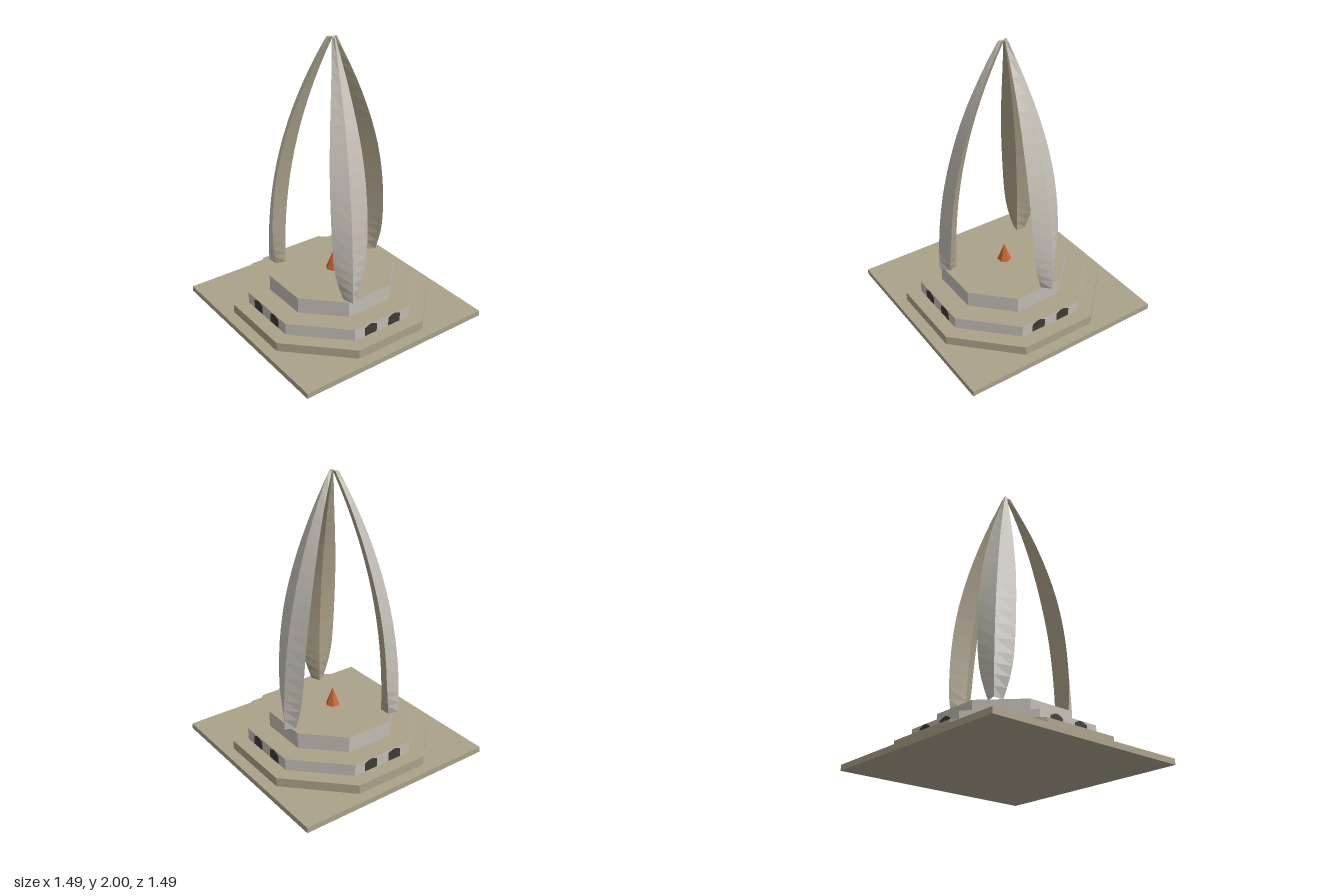
import * as THREE from 'three';

const paint = (name, color) => {
  const m = new THREE.MeshStandardMaterial({ color });
  m.name = name;
  return m;
};

// Split shared corners so every facet is flat
const faceted = (geometry) => {
  const g = geometry.toNonIndexed();
  g.computeVertexNormals();
  return g;
};

// Blade rows: height, half width, place of the side edge between inner and outer ridge
const BASE = 0.305;
const TOP = 2;
const PROFILE = [
  [BASE, 0.046, 0.48],
  [0.45, 0.09, 0.49],
  [0.6, 0.113, 0.5],
  [0.8, 0.122, 0.54],
  [1.0, 0.123, 0.58],
  [1.2, 0.116, 0.6],
  [1.4, 0.099, 0.6],
  [1.6, 0.074, 0.6],
  [1.8, 0.044, 0.58],
  [TOP, 0.012, 0.5],
];

// Diamond cross-sections ordered outer, +side, inner, -side; both ridges lean in along a power curve
function bladeRings(steps) {
  const rows = PROFILE.map((row) => new THREE.Vector3(...row));
  const curve = new THREE.CatmullRomCurve3(rows, false, 'catmullrom', 0.5);
  return Array.from({ length: steps + 1 }, (_, s) => {
    const { x: y, y: width, z: blend } = curve.getPoint(s / steps);
    const lean = Math.max(0, (y - BASE) / (TOP - BASE)) ** 2.2;
    const outer = THREE.MathUtils.lerp(0.473, 0.04, lean);
    const inner = THREE.MathUtils.lerp(0.35, 0, lean);
    const side = THREE.MathUtils.lerp(inner, outer, blend);
    return [[outer, y, 0], [side, y, width], [inner, y, 0], [side, y, -width]];
  });
}

// Skin made from the chosen sides of the diamond
function bladeSkin(rings, sides, capped) {
  const pos = [];
  for (let r = 0; r < rings.length - 1; r++) {
    for (const k of sides) {
      const n = (k + 1) % 4;
      const [a, b, c, d] = [rings[r][k], rings[r][n], rings[r + 1][n], rings[r + 1][k]];
      pos.push(...a, ...c, ...b, ...a, ...d, ...c);
    }
  }
  if (capped) {
    const [a, b, c, d] = rings[rings.length - 1];
    pos.push(...a, ...d, ...c, ...a, ...c, ...b);
  }
  const g = new THREE.BufferGeometry();
  g.setAttribute('position', new THREE.Float32BufferAttribute(pos, 3));
  g.computeVertexNormals();
  return g;
}

export function createModel() {
  const model = new THREE.Group();
  model.name = 'monument';
  const sand = paint('sandstone', 0xaca28a);
  const grey = paint('pale grey stone', 0xc2bdb4);
  const dark = paint('dark opening', 0x3f3b34);
  const orange = paint('flame orange', 0xcc622c);

  const add = (name, geometry, material, parent = model) => {
    const mesh = new THREE.Mesh(geometry, material);
    mesh.name = name;
    parent.add(mesh);
    return mesh;
  };

  // Square plinth
  add('plinth', new THREE.BoxGeometry(1.49, 0.04, 1.49), sand).position.y = 0.02;

  // Octagonal tiers: name, half span, bottom, top, wall material
  const tiers = [
    ['lowerTier', 0.665, 0.04, 0.105, sand],
    ['middleTier', 0.565, 0.105, 0.19, grey],
    ['upperTier', 0.422, 0.19, 0.305, grey],
  ];
  for (const [name, span, y0, y1, wall] of tiers) {
    const radius = span / Math.cos(Math.PI / 8);
    const g = new THREE.CylinderGeometry(radius, radius, y1 - y0, 8);
    g.rotateY(Math.PI / 8);
    add(name, faceted(g), [wall, sand, sand]).position.y = (y0 + y1) / 2;
  }

  // Pairs of gabled openings on the four main sides of the middle tier
  const gable = new THREE.Shape([
    [-0.051, 0], [0.051, 0], [0.051, 0.063], [0.012, 0.081], [-0.012, 0.081], [-0.051, 0.063],
  ].map(([x, y]) => new THREE.Vector2(x, y)));
  const opening = new THREE.ShapeGeometry(gable);
  for (let s = 0; s < 4; s++) {
    const wall = new THREE.Group();
    wall.name = 'openings';
    wall.rotation.y = s * Math.PI / 2;
    for (const x of [-0.101, 0.101]) {
      add('opening', opening, dark, wall).position.set(x, 0.107, 0.566);
    }
    model.add(wall);
  }

  // Three curved blades leaning together at the top
  const rings = bladeRings(18);
  const outerSkin = bladeSkin(rings, [0, 3], true);
  const innerSkin = bladeSkin(rings, [1, 2], false);
  for (const degrees of [-10, 110, 230]) {
    const blade = new THREE.Group();
    blade.name = 'blade';
    blade.rotation.y = -THREE.MathUtils.degToRad(degrees);
    add('bladeOuterFace', outerSkin, grey, blade);
    add('bladeInnerFace', innerSkin, sand, blade);
    model.add(blade);
  }

  // Central flame
  const flame = new THREE.ConeGeometry(0.05, 0.13, 6);
  flame.rotateY(Math.PI / 6);
  add('flame', faceted(flame), orange).position.y = 0.37;

  return model;
}
